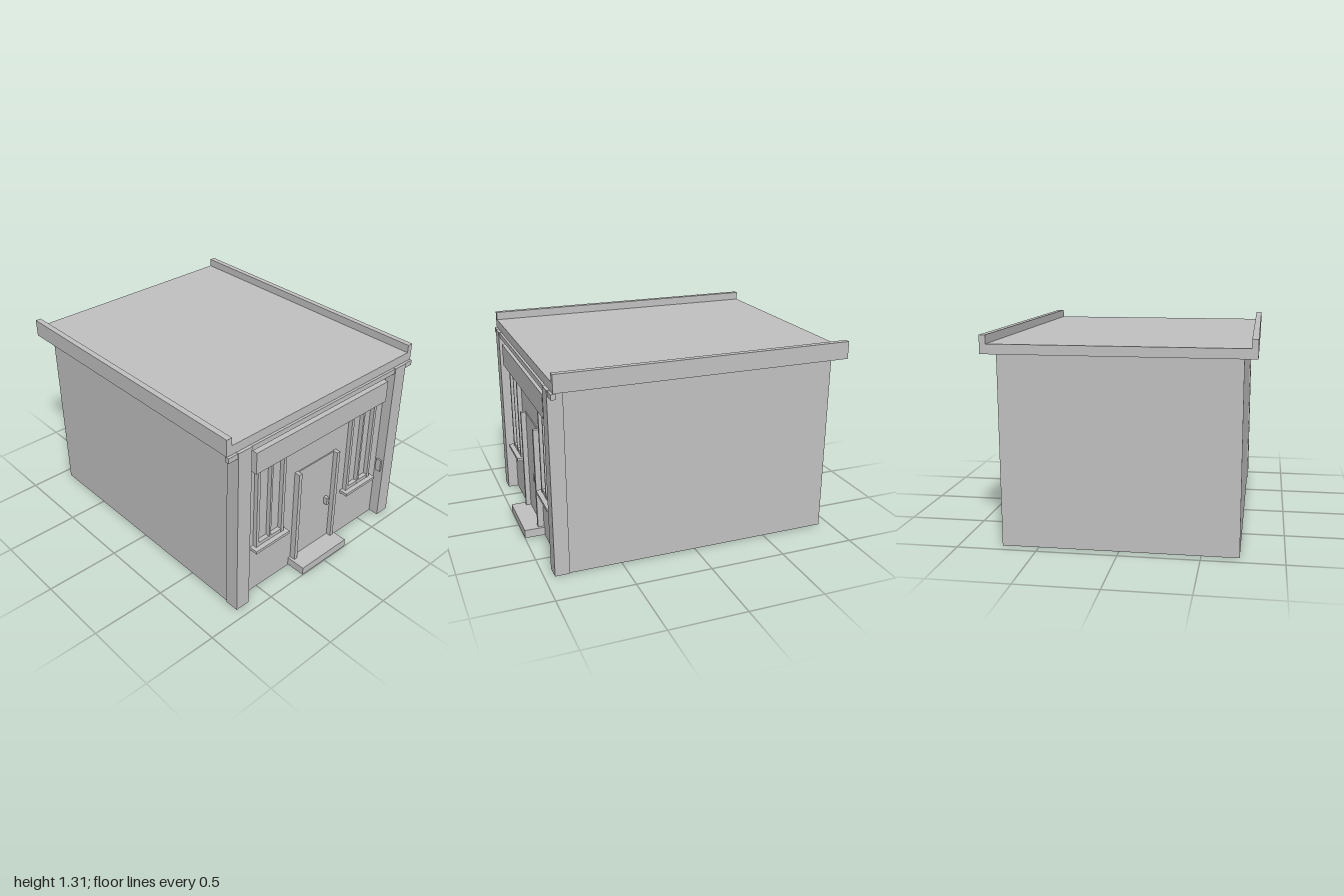
import * as THREE from 'three';

export function createModel() {
  const model = new THREE.Group();
  model.name = 'smallBuilding';
  const plaster = new THREE.MeshStandardMaterial({ color: 0xc0c0c0 });
  plaster.name = 'grey plaster';

  // Box given by its lower and upper limits on each axis
  function block(name, x0, x1, y0, y1, z0, z1, parent = model) {
    const mesh = new THREE.Mesh(new THREE.BoxGeometry(x1 - x0, y1 - y0, z1 - z0), plaster);
    mesh.position.set((x0 + x1) / 2, (y0 + y1) / 2, (z0 + z1) / 2);
    mesh.name = name;
    parent.add(mesh);
    return mesh;
  }
  // The same box on both sides of x = 0
  function pair(name, x0, x1, ...rest) {
    block(name + 'Left', x0, x1, ...rest);
    block(name + 'Right', -x1, -x0, ...rest);
  }

  const wallZ = 0.865; // front wall plane between the pillars

  // Main volume and corner pillars
  block('walls', -0.73, 0.73, 0, 1.2, -0.93, wallZ);
  pair('pillar', 0.635, 0.738, 0, 1.2, 0.84, 0.935);

  // Flat roof with raised side edges, and the front beam
  block('roofSlab', -0.77, 0.77, 1.2, 1.26, -1, 0.915);
  pair('roofEdge', 0.77, 0.808, 1.2, 1.313, -1, 0.915);
  block('frontBeam', -0.808, 0.808, 1.163, 1.197, 0.9, 0.929);
  block('beamTrim', -0.635, 0.635, 1.15, 1.2, wallZ, 0.9);

  // Sign board
  block('signBoard', -0.587, 0.584, 0.975, 1.125, wallZ, 0.925);

  // Windows: three posts, a bottom rail and a sill
  for (const cx of [-0.422, 0.415]) {
    const win = new THREE.Group();
    win.name = cx < 0 ? 'windowRight' : 'windowLeft';
    model.add(win);
    for (const [off, half] of [[-0.108, 0.011], [0, 0.007], [0.108, 0.011]]) {
      block('windowPost', cx + off - half, cx + off + half, 0.372, 0.975, wallZ, 0.895, win);
    }
    block('windowRail', cx - 0.097, cx + 0.097, 0.372, 0.397, wallZ, 0.893, win);
    block('windowSill', cx - 0.145, cx + 0.145, 0.352, 0.372, wallZ, 0.925, win);
  }

  // Door, jambs, handle and step
  block('door', -0.165, 0.16, 0.06, 0.75, wallZ, 0.872);
  block('doorJambRight', -0.191, -0.165, 0.06, 0.754, wallZ, 0.905);
  block('doorJambLeft', 0.16, 0.186, 0.06, 0.754, wallZ, 0.905);
  block('doorHandle', 0.1, 0.121, 0.357, 0.413, 0.872, 0.9);
  block('doorStep', -0.21, 0.205, 0.004, 0.06, wallZ, 1);

  // Small panel on the inner side of a pillar
  block('pillarPanel', 0.622, 0.637, 0.378, 0.47, 0.88, 0.92);

  return model;
}
